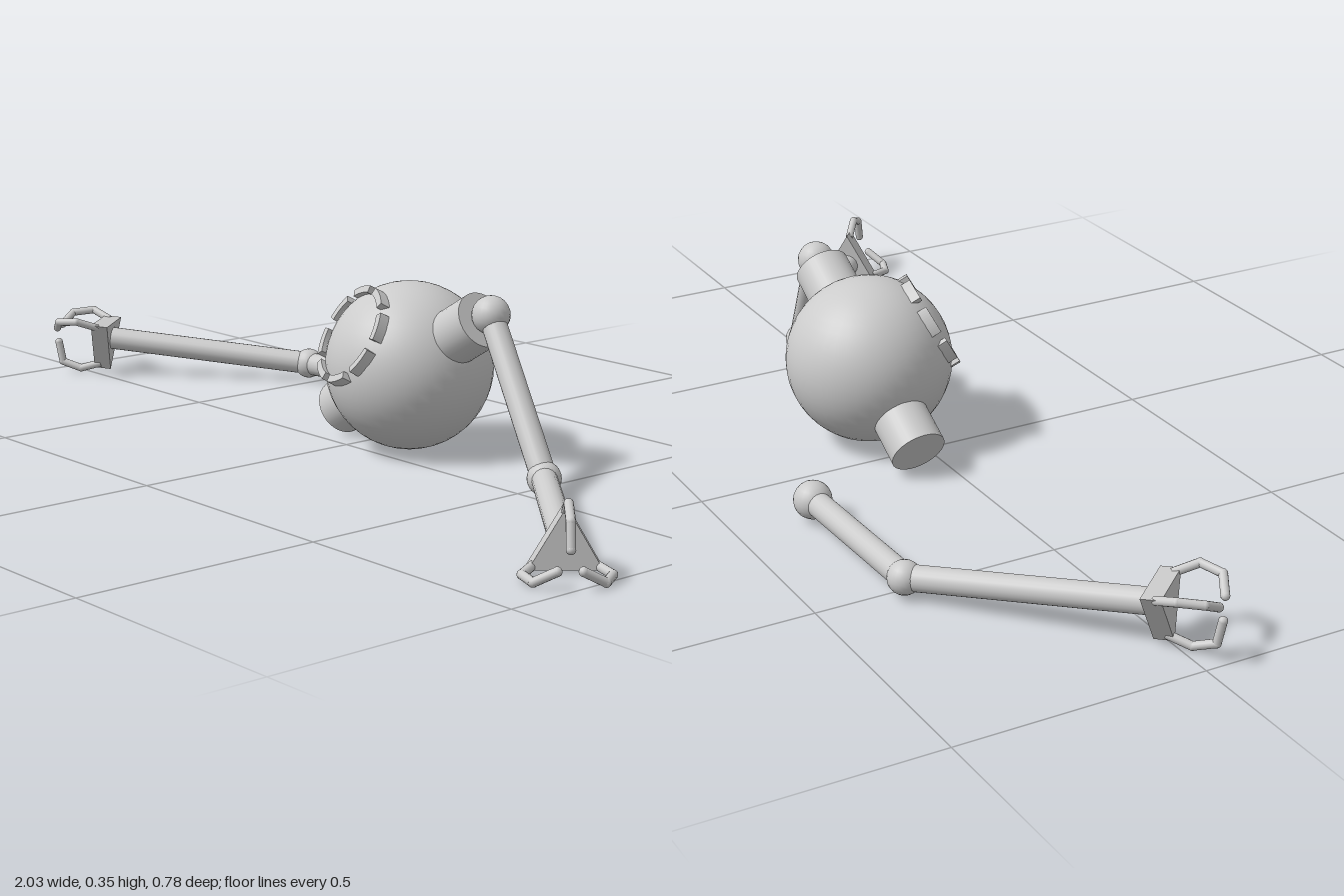
import * as THREE from 'three';

const mat = new THREE.MeshStandardMaterial({ color: 0xcccccc });
const flat = new THREE.MeshStandardMaterial({ color: 0xcccccc, flatShading: true });
const V = (x, y, z) => new THREE.Vector3(x, y, z);
const UP = V(0, 1, 0);

function add(parent, name, geometry, material = mat) {
  const mesh = new THREE.Mesh(geometry, material);
  mesh.name = name;
  parent.add(mesh);
  return mesh;
}

function ball(parent, name, center, r, segments = 24) {
  add(parent, name, new THREE.SphereGeometry(r, segments, segments / 2)).position.copy(center);
}

// Cylinder running from a to b
function rod(parent, name, a, b, r, sides = 20) {
  const dir = b.clone().sub(a);
  const mesh = add(parent, name, new THREE.CylinderGeometry(r, r, dir.length(), sides));
  mesh.position.copy(a).add(b).multiplyScalar(0.5);
  mesh.quaternion.setFromUnitVectors(UP, dir.normalize());
}

// Triangular palm with one curled finger at each corner
function hand(parent, center, forward, apex) {
  const group = new THREE.Group();
  group.name = 'hand';
  parent.add(group);
  const side = forward.clone().cross(apex).normalize();
  const radial = side.clone().cross(forward);
  const palm = add(group, 'palm', new THREE.CylinderGeometry(0.074, 0.074, 0.038, 3), flat);
  palm.quaternion.setFromRotationMatrix(new THREE.Matrix4().makeBasis(side, forward, radial));
  palm.position.copy(center);

  const profile = [[0.005, 0.062], [0.05, 0.088], [0.095, 0.07], [0.108, 0.025]]; // forward, outward
  for (let k = 0; k < 3; k++) {
    const t = (k * Math.PI * 2) / 3;
    const out = side.clone().multiplyScalar(Math.sin(t)).addScaledVector(radial, Math.cos(t));
    const points = profile.map(([f, r]) => {
      const p = center.clone().addScaledVector(forward, f).addScaledVector(out, r);
      p.y = Math.max(p.y, 0.01); // fingers rest on the ground
      return p;
    });
    for (let i = 0; i < 3; i++) {
      rod(group, 'fingerSegment', points[i], points[i + 1], 0.0085, 12);
      ball(group, 'fingerJoint', points[i + 1], 0.0088, 12);
    }
  }
}

function arm(parent, name, shoulder, elbow, wrist, apex) {
  const group = new THREE.Group();
  group.name = name;
  parent.add(group);
  ball(group, 'shoulderJoint', shoulder, 0.038);
  rod(group, 'upperArm', shoulder, elbow, 0.025);
  ball(group, 'elbowJoint', elbow, 0.033);
  rod(group, 'forearm', elbow, wrist, 0.025);
  hand(group, wrist, wrist.clone().sub(elbow).normalize(), apex);
}

export function createModel() {
  const model = new THREE.Group();
  model.name = 'robot';

  // Round body with a tilted shoulder axle through it
  const body = new THREE.Group();
  body.name = 'body';
  body.position.set(0.11, 0.176, -0.073);
  model.add(body);
  add(body, 'bodySphere', new THREE.SphereGeometry(0.17, 40, 24));
  const axle = V(0.863, 0.506, 0).multiplyScalar(0.244);
  rod(body, 'shoulderAxle', axle.clone().negate(), axle, 0.057, 32);

  // Broken ring of raised blocks on the face
  const ring = new THREE.Group();
  ring.name = 'faceRing';
  ring.quaternion.setFromUnitVectors(V(0, 0, 1), V(-0.24, 0.49, 0.84).normalize());
  body.add(ring);
  const count = 8;
  for (let i = 0; i < count; i++) {
    const a = (i / count) * Math.PI * 2;
    const b = a + (Math.PI * 2 / count) * 0.72;
    const shape = new THREE.Shape();
    shape.absarc(0, 0, 0.105, a, b, false);
    shape.absarc(0, 0, 0.09, b, a, true);
    const block = new THREE.ExtrudeGeometry(shape, { depth: 0.035, bevelEnabled: false, curveSegments: 6 });
    add(ring, 'faceRingBlock', block).position.z = 0.119;
  }

  // Attached arm on one side, detached arm lying on the other
  arm(model, 'leftArm', V(0.342, 0.312, -0.076), V(0.556, 0.04, -0.014), V(0.907, 0.044, 0.285), V(0, 1, 0));
  arm(model, 'rightArm', V(-0.172, 0.044, -0.342), V(-0.522, 0.04, -0.33), V(-0.887, 0.085, -0.02), V(0, -1, 0));
  return model;
}
